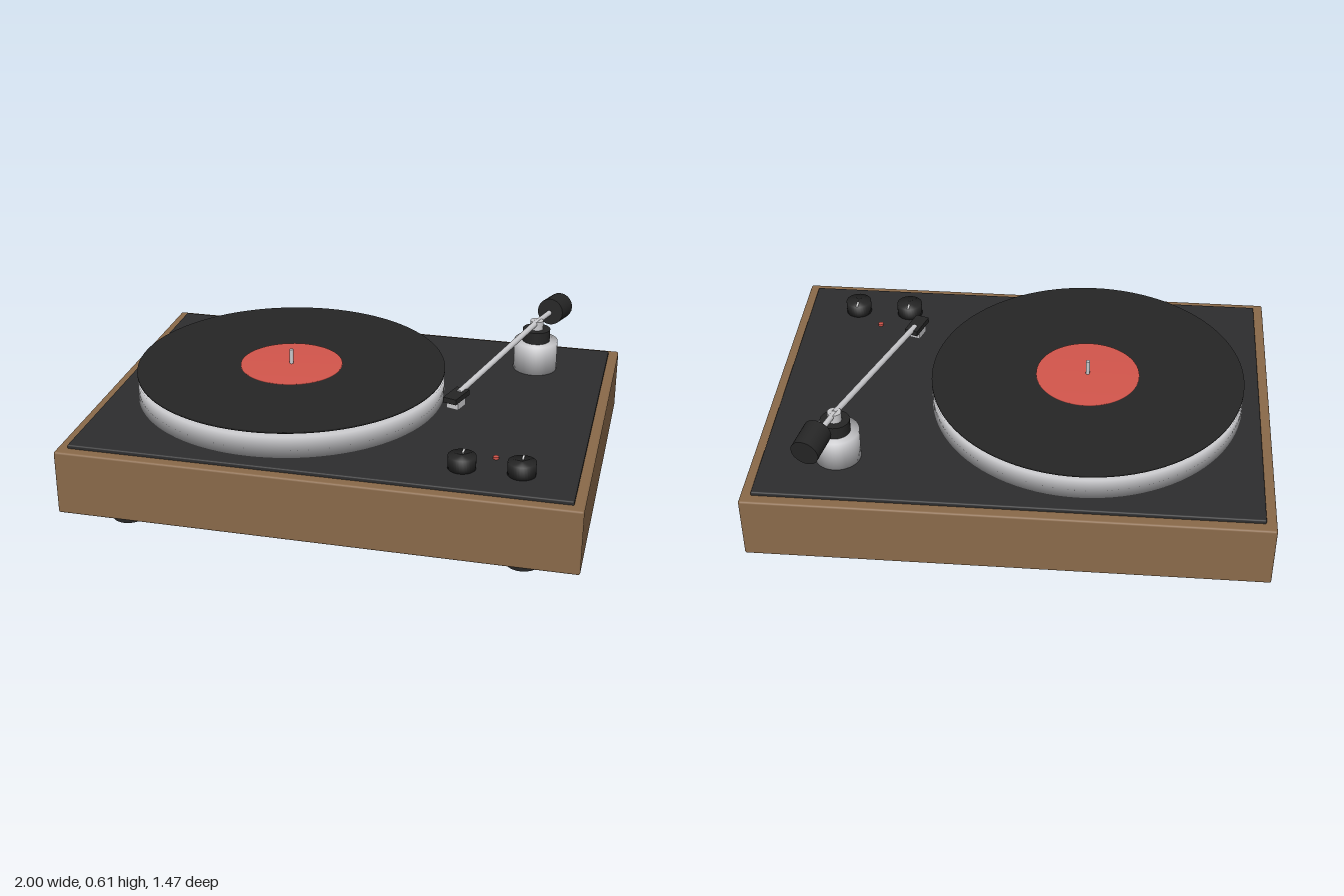
import * as THREE from 'three';
import { RoundedBoxGeometry } from 'three/addons/geometries/RoundedBoxGeometry.js';

const material = (name, color) => {
  const m = new THREE.MeshStandardMaterial({ color });
  m.name = name;
  return m;
};

export function createModel() {
  const wood = material('walnut', 0x8a6a4a);
  const deckBlack = material('deck charcoal', 0x2d2d2e);
  const black = material('vinyl black', 0x262626);
  const silver = material('brushed silver', 0xcacacd);
  const red = material('label red', 0xd4564c);
  const white = material('marker white', 0xe6e6e6);

  const model = new THREE.Group();
  model.name = 'turntable';

  const add = (name, geometry, mat, x, y, z, parent = model) => {
    const mesh = new THREE.Mesh(geometry, mat);
    mesh.name = name;
    mesh.position.set(x, y, z);
    parent.add(mesh);
    return mesh;
  };
  // Turned disc with soft shading over its rim, standing on its base
  const disc = (r, h, sides = 48) => new THREE.LatheGeometry(
    [[0, 0], [r, 0], [r, h], [0, h]].map(([a, b]) => new THREE.Vector2(a, b)), sides);
  const cylinder = (r, h, sides = 32) => new THREE.CylinderGeometry(r, r, h, sides).translate(0, h / 2, 0);
  const up = new THREE.Vector3(0, 1, 0);
  // Rod between two points
  const rod = (name, a, b, r, mat) => {
    const d = b.clone().sub(a);
    const mesh = add(name, cylinder(r, d.length(), 20), mat, a.x, a.y, a.z);
    mesh.quaternion.setFromUnitVectors(up, d.normalize());
    return mesh;
  };

  // Cabinet, deck and feet
  add('plinth', new RoundedBoxGeometry(2, 0.26, 1.47, 2, 0.008), wood, 0, 0.2, 0);
  add('deckPlate', new RoundedBoxGeometry(1.92, 0.03, 1.386, 2, 0.006), deckBlack, 0, 0.33, 0);
  for (const x of [-0.775, 0.775]) {
    for (const z of [-0.573, 0.573]) add('foot', cylinder(0.065, 0.075), black, x, 0, z);
  }

  // Platter, mat, record and spindle
  const cx = -0.267;
  add('platter', disc(0.622, 0.085, 96), silver, cx, 0.345, 0);
  add('platterMat', cylinder(0.545, 0.016, 96), black, cx, 0.43, 0);
  add('record', disc(0.623, 0.009, 96), black, cx, 0.446, 0);
  add('recordLabel', disc(0.206, 0.004, 64), red, cx, 0.455, 0);
  add('spindle', cylinder(0.008, 0.09, 16), silver, cx, 0.43, 0);

  // Tonearm support
  const px = 0.67, pz = -0.45;
  add('armBase', disc(0.09, 0.125), silver, px, 0.345, pz);
  add('armCollar', cylinder(0.057, 0.05), black, px, 0.47, pz);
  add('armPivot', cylinder(0.027, 0.037, 24), silver, px, 0.52, pz);

  // Tonearm tube with headshell and cartridge
  const pivot = new THREE.Vector3(px, 0.549, pz);
  const tip = new THREE.Vector3(0.457, 0.498, 0.21);
  rod('armTube', pivot, tip, 0.012, silver);
  const head = new THREE.Group();
  head.name = 'headAssembly';
  head.position.set(0.451, 0.492, 0.228);
  head.rotation.y = Math.atan2(tip.x - px, tip.z - pz);
  model.add(head);
  add('headshell', new THREE.BoxGeometry(0.055, 0.022, 0.112), black, 0, 0, 0, head);
  add('cartridge', new THREE.BoxGeometry(0.05, 0.032, 0.061), silver, 0, -0.026, 0.002, head);

  // Counterweight on its stub
  const weightAt = new THREE.Vector3(0.725, 0.547, -0.624);
  rod('counterweightStub', pivot, weightAt, 0.011, silver);
  const axis = new THREE.Vector3(0.24, -0.11, -0.96).normalize().multiplyScalar(0.06);
  rod('counterweight', weightAt.clone().sub(axis), weightAt.clone().add(axis), 0.055, black);

  // Controls
  for (const x of [0.528, 0.75]) {
    add('knob', disc(0.053, 0.052, 32), black, x, 0.345, 0.529);
    add('knobMarker', new THREE.BoxGeometry(0.008, 0.004, 0.034), white, x, 0.398, 0.497);
  }
  add('powerLight', cylinder(0.011, 0.009, 16), red, 0.64, 0.345, 0.427);

  return model;
}
